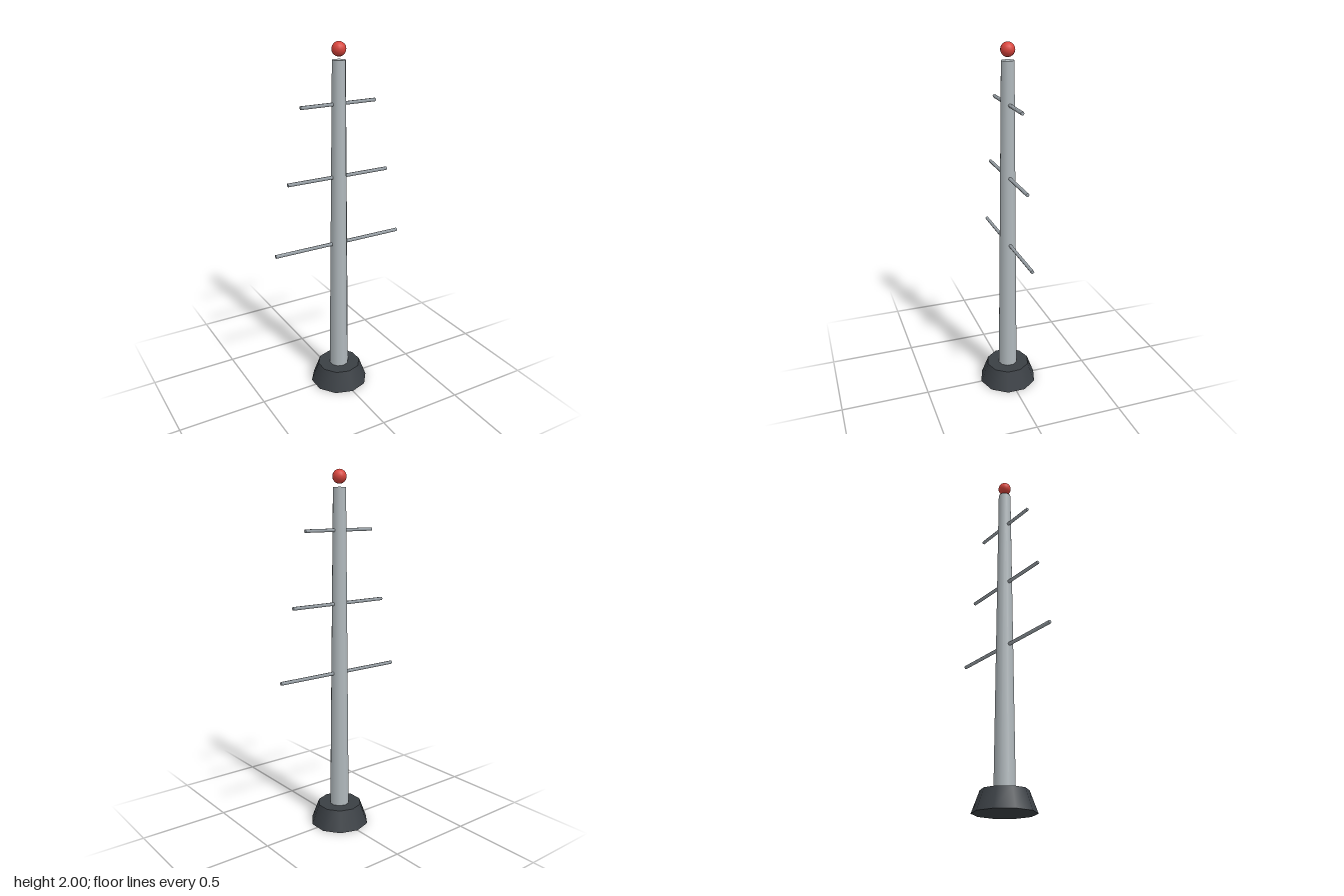
import * as THREE from 'three';

const material = (color) => new THREE.MeshStandardMaterial({ color });

export function createModel() {
  const group = new THREE.Group();
  const baseMat = material(0x3a3f44);
  const mastMat = material(0xb0b8bc);
  const barMat = material(0x9ca4aa);
  const lampMat = material(0xd9453d);

  const add = (name, geometry, mat, y) => {
    const mesh = new THREE.Mesh(geometry, mat);
    mesh.name = name;
    mesh.position.y = y;
    group.add(mesh);
    return mesh;
  };

  // Tapered ten-sided foot
  const baseHeight = 0.115;
  add('base', new THREE.CylinderGeometry(0.125, 0.168, baseHeight, 10), baseMat, baseHeight / 2);

  // Tapered mast standing on the foot
  const mastTop = 1.908;
  add('mast', new THREE.CylinderGeometry(0.036, 0.056, mastTop - baseHeight, 10), mastMat, (mastTop + baseHeight) / 2);

  // Crossbars, shorter towards the top: [height, half length]
  [[0.9, 0.39], [1.29, 0.306], [1.685, 0.223]].forEach(([y, half], i) => {
    const bar = add(`crossbar${i + 1}`, new THREE.CylinderGeometry(0.01, 0.01, half * 2, 6), barMat, y);
    bar.rotation.z = Math.PI / 2;
  });

  // Red beacon just above the mast
  add('beacon', new THREE.SphereGeometry(0.038, 16, 12), lampMat, 1.962);

  return group;
}
